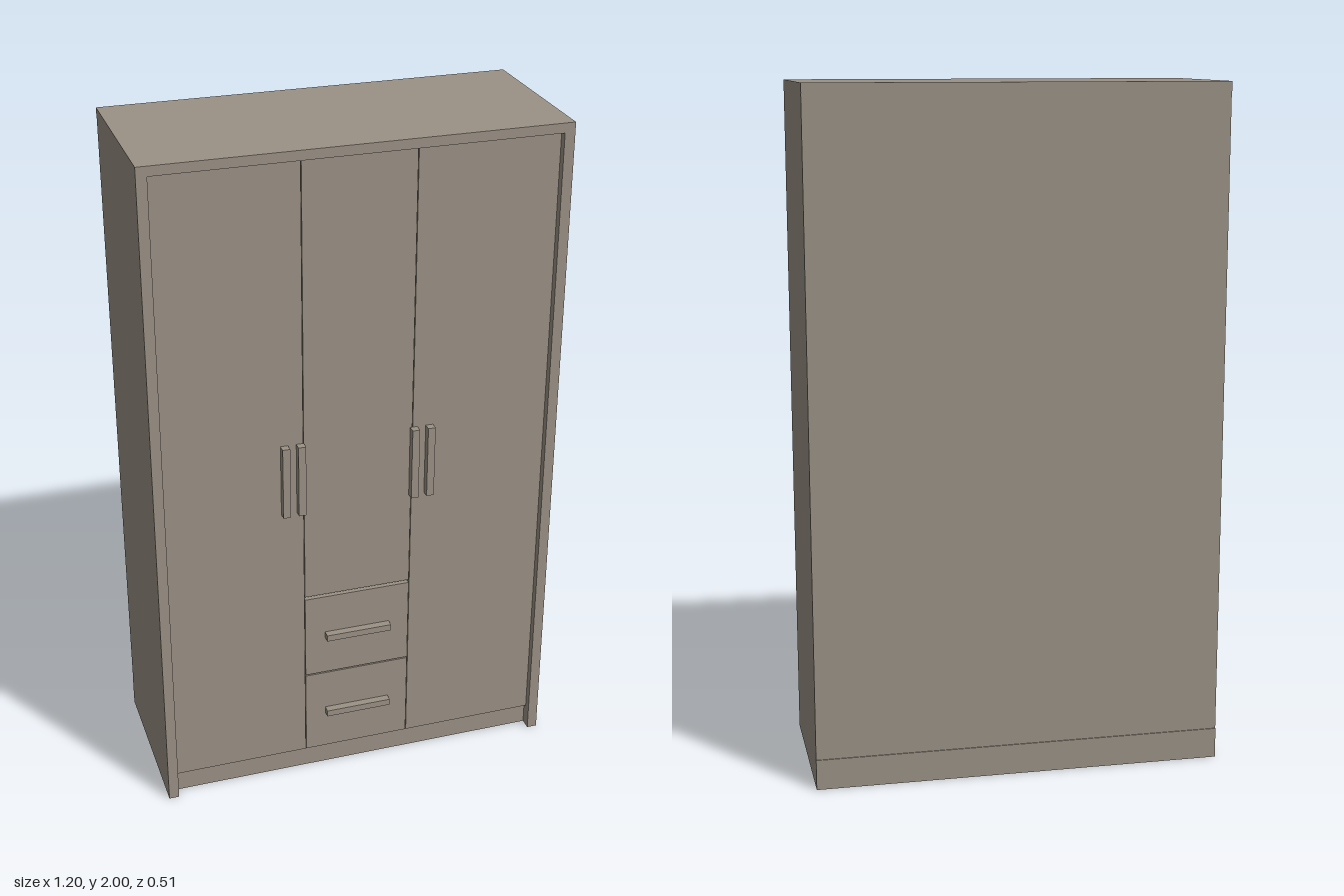
import * as THREE from 'three';

export function createModel() {
  const model = new THREE.Group();
  model.name = 'wardrobe';
  const wood = new THREE.MeshStandardMaterial({ color: 0x9b9285 });
  wood.name = 'taupe wood';

  // Adds a box spanning two opposite corners
  function panel(name, x0, x1, y0, y1, z0, z1) {
    const mesh = new THREE.Mesh(new THREE.BoxGeometry(x1 - x0, y1 - y0, z1 - z0), wood);
    mesh.name = name;
    mesh.position.set((x0 + x1) / 2, (y0 + y1) / 2, (z0 + z1) / 2);
    model.add(mesh);
  }

  const back = -0.257, front = 0.255;
  const doorBack = 0.215, doorFront = 0.235;
  const inner = 0.57, top = 1.972, base = 0.068;

  // Carcass
  panel('topPanel', -0.6, 0.6, top, 2, back, front);
  panel('leftSide', inner, 0.6, 0, top, back + 0.015, front);
  panel('rightSide', -0.6, -inner, 0, top, back + 0.015, front);
  panel('backPanel', -0.6, 0.6, 0.09, top, back + 0.003, back + 0.015);
  panel('bottomPanel', -inner, inner, base, 0.09, back + 0.015, doorBack);
  panel('frontBacking', -inner, inner, 0.09, top, doorBack - 0.02, doorBack);

  // Plinth, open underneath
  panel('frontPlinth', -inner, inner, 0, base, 0.19, 0.22);
  panel('backPlinth', -inner, inner, 0, base, back + 0.015, back + 0.03);
  panel('backPlinthFace', -0.6, 0.6, 0, 0.09, back, back + 0.015);

  // Doors with narrow seams
  const seam = 0.001, split = 0.162;
  panel('leftDoor', split + seam, inner - 0.001, base + 0.004, top - 0.003, doorBack, doorFront);
  panel('rightDoor', -inner + 0.001, -split - seam, base + 0.004, top - 0.003, doorBack, doorFront);
  panel('middleDoor', -split + seam, split - seam, 0.625, top - 0.003, doorBack, doorFront);

  // Two drawers, each with a horizontal handle
  for (const [y0, y1, handleY] of [[base + 0.004, 0.343, 0.206], [0.347, 0.615, 0.481]]) {
    panel('drawerFront', -split + seam, split - seam, y0, y1, doorBack, doorFront);
    panel('drawerHandle', -0.1, 0.1, handleY - 0.01, handleY + 0.01, doorFront, 0.258);
  }

  // Vertical door handles
  for (const x of [-0.218, -0.172, 0.166, 0.213]) {
    panel('doorHandle', x - 0.011, x + 0.011, 0.918, 1.138, doorFront, 0.258);
  }
  return model;
}
